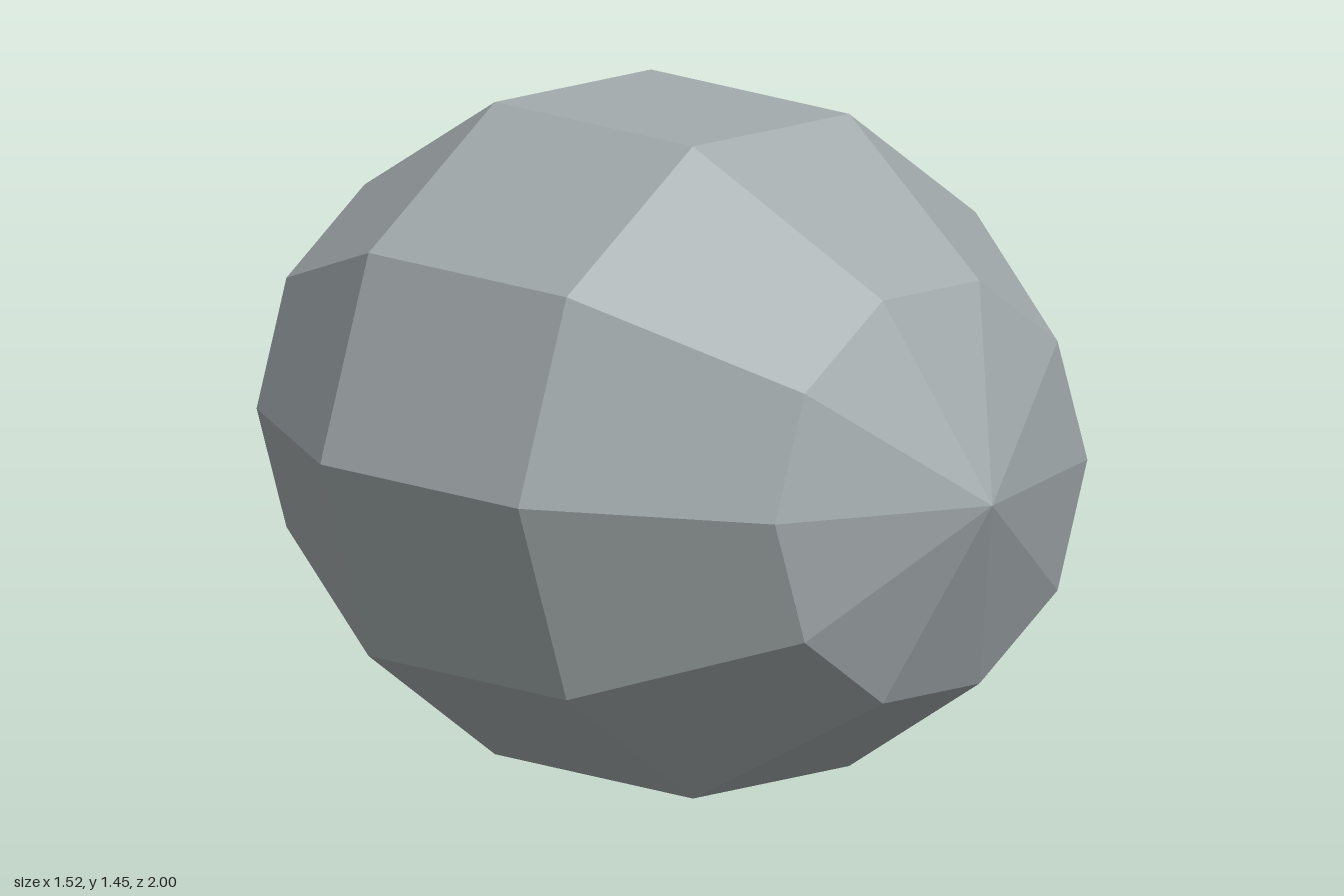
import * as THREE from 'three';

export function createModel() {
  const group = new THREE.Group();
  group.name = 'facetedPebble';

  const stone = new THREE.MeshStandardMaterial({ color: 0xa3abad });
  stone.name = 'blue grey stone';
  stone.flatShading = true;

  // Ten-sided, five-ring ellipsoid with its poles on the z axis
  const width = 0.8;
  const geometry = new THREE.SphereGeometry(1, 10, 5);
  geometry.rotateX(Math.PI / 2);
  geometry.scale(width, width, 1);

  // Rest the lowest flat facet on the ground
  geometry.computeBoundingBox();
  geometry.translate(0, -geometry.boundingBox.min.y, 0);

  const body = new THREE.Mesh(geometry, stone);
  body.name = 'body';
  group.add(body);
  return group;
}
